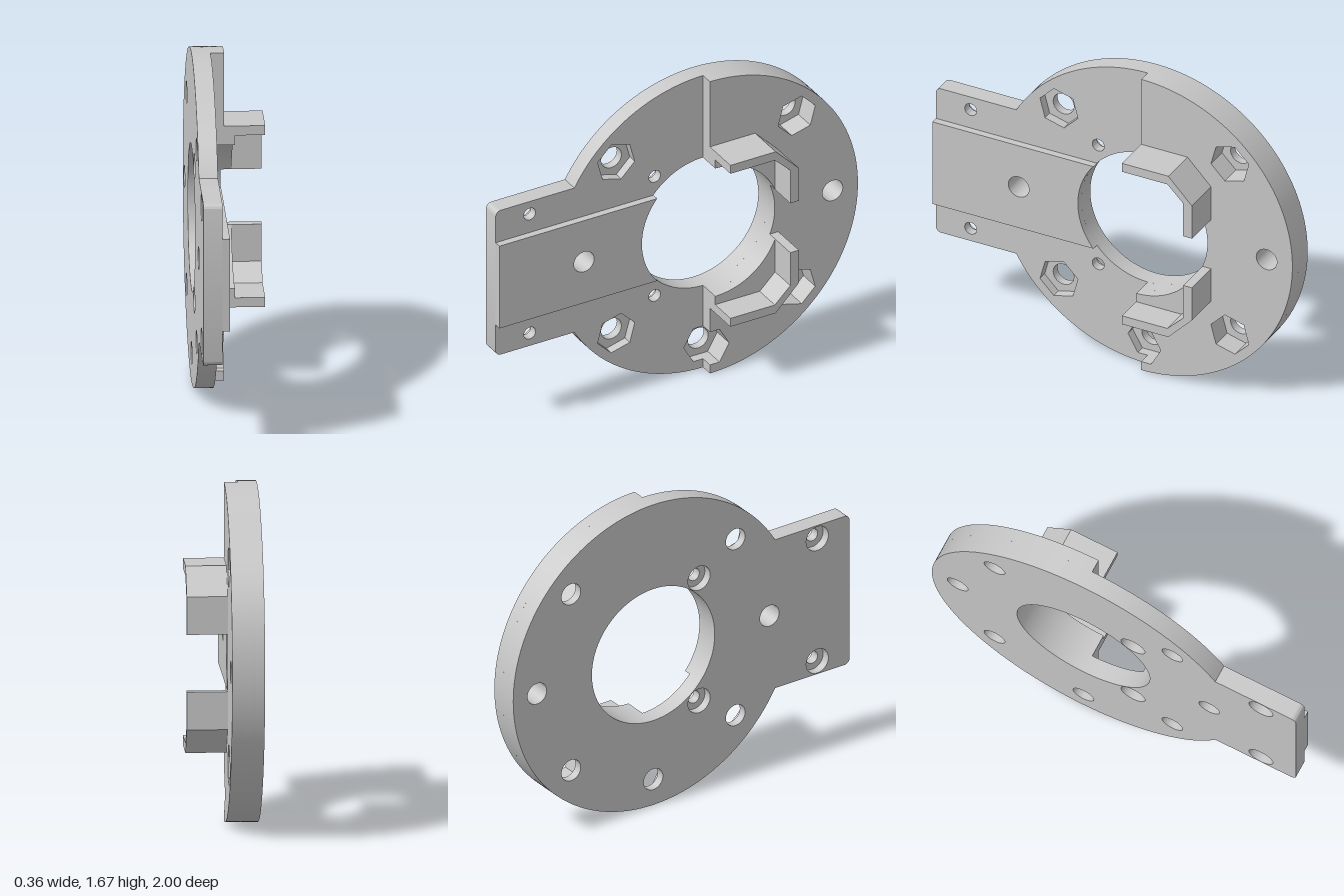
import * as THREE from 'three';
import { toCreasedNormals } from 'three/addons/utils/BufferGeometryUtils.js';

// Profiles are drawn in a (u, v) plane centred on the ring: u = backward (-z), v = up.
const R = 0.833, BORE = 0.365, BOLT_CIRCLE = 0.691;
const BOLT_R = 0.057, HEX_R = 0.108, SCREW_R = 0.033, HEAD_R = 0.066;
const TAB_END = -1.167, TAB_H = 0.412, CORNER = 0.03;
const X_BACK = -0.18, X_POCKET = -0.135, X_THIN = -0.087, X_STRIP = -0.05;
const X_THICK = -0.02, X_LEDGE = 0.032, X_WALL = 0.18;
const HALF = Math.PI / 2;

// Holes run counter-clockwise so that their walls face inwards
const circle = (u, v, r) => new THREE.Path().absarc(u, v, r, 0, Math.PI * 2, false);
const polar = (deg) => {
  const a = THREE.MathUtils.degToRad(deg);
  return [Math.cos(a) * BOLT_CIRCLE, Math.sin(a) * BOLT_CIRCLE, a];
};
const bolt = (deg) => circle(...polar(deg).slice(0, 2), BOLT_R);

// Nut pocket with two flats square to the radius
function hex(deg) {
  const [u, v, a] = polar(deg);
  const pts = [];
  for (let i = 0; i < 6; i++) {
    const t = a + HALF + i * Math.PI / 3;
    pts.push(new THREE.Vector2(u + HEX_R * Math.cos(t), v + HEX_R * Math.sin(t)));
  }
  return new THREE.Path(pts);
}

const screws = (r) => [-0.975, -0.272].flatMap((u) => [0.34, -0.34].map((v) => circle(u, v, r)));

// Disc with a rectangular tab
function outline(holes) {
  const a = Math.PI - Math.asin(TAB_H / R);
  const s = new THREE.Shape();
  s.absarc(0, 0, R, a, -a, true);
  s.lineTo(TAB_END + CORNER, -TAB_H);
  s.absarc(TAB_END + CORNER, -TAB_H + CORNER, CORNER, -HALF, -Math.PI, true);
  s.lineTo(TAB_END, TAB_H - CORNER);
  s.absarc(TAB_END + CORNER, TAB_H - CORNER, CORNER, Math.PI, HALF, true);
  s.closePath();
  s.holes.push(circle(0, 0, BORE), ...holes);
  return s;
}

// Rear half ring, notched at its foot for the lowest nut
function halfRing() {
  const flat = HEX_R * Math.sqrt(3) / 2;
  const s = new THREE.Shape();
  s.absarc(0, 0, R, HALF, -HALF, true);
  s.lineTo(0, -BOLT_CIRCLE - flat);
  s.lineTo(HEX_R / 2, -BOLT_CIRCLE - flat);
  s.lineTo(HEX_R, -BOLT_CIRCLE);
  s.lineTo(HEX_R / 2, -BOLT_CIRCLE + flat);
  s.lineTo(0, -BOLT_CIRCLE + flat);
  s.lineTo(0, -BORE);
  s.absarc(0, 0, BORE, -HALF, HALF, false);
  s.closePath();
  s.holes.push(hex(45), hex(-45), bolt(0));
  return s;
}

// Raised strip along the tab, ending at the bore
function strip() {
  const h = 0.235, a = Math.PI - Math.asin(h / BORE);
  const s = new THREE.Shape();
  s.moveTo(TAB_END, h);
  s.lineTo(TAB_END, -h);
  s.absarc(0, 0, BORE, -a, a - 2 * Math.PI, true);
  s.lineTo(TAB_END, h);
  s.holes.push(bolt(180));
  return s;
}

// Bent guard wall; m = 1 for the upper one, -1 for the lower one
const guardWall = (m) => new THREE.Shape([
  [0, 0.461], [0.255, 0.461], [0.385, 0.328], [0.385, 0.141],
  [0.337, 0.141], [0.337, 0.329], [0.25, 0.413], [0, 0.413],
].map(([u, v]) => new THREE.Vector2(u, v * m)));

// Low ledge between the guard wall and the bore
function ledge(m) {
  const s = new THREE.Shape();
  s.moveTo(0, 0.413 * m);
  s.lineTo(0.25, 0.413 * m);
  s.lineTo(0.337, 0.329 * m);
  s.lineTo(0.337, 0.141 * m);
  s.absarc(0, 0, BORE, Math.atan2(0.141, 0.337) * m, HALF * m, m < 0);
  s.closePath();
  return s;
}

export function createModel() {
  const group = new THREE.Group();
  const grey = new THREE.MeshStandardMaterial({ color: 0xc8c8c8 });
  grey.name = 'plainGrey';

  function add(name, shape, x0, x1) {
    const raw = new THREE.ExtrudeGeometry(shape, { depth: x1 - x0, bevelEnabled: false, curveSegments: 64 });
    const mesh = new THREE.Mesh(toCreasedNormals(raw, 0.5), grey);
    mesh.name = name;
    mesh.rotation.y = HALF;
    mesh.position.set(x0, R, -0.167);
    group.add(mesh);
  }

  const nutAngles = [45, 135, 225, 270, 315];
  // Back skin with round bolt holes and wide screw-head recesses
  add('backPlate', outline([...[0, 180, ...nutAngles].map(bolt), ...screws(HEAD_R)]), X_BACK, X_POCKET);
  // Pocket layer with hexagonal nut seats
  add('pocketPlate', outline([bolt(0), bolt(180), ...nutAngles.map(hex), ...screws(SCREW_R)]), X_POCKET, X_THIN);
  add('thickHalfRing', halfRing(), X_THIN, X_THICK);
  add('raisedStrip', strip(), X_THIN, X_STRIP);
  for (const [m, side] of [[1, 'upper'], [-1, 'lower']]) {
    add(side + 'GuardWall', guardWall(m), X_THICK, X_WALL);
    add(side + 'Ledge', ledge(m), X_THICK, X_LEDGE);
  }
  return group;
}
